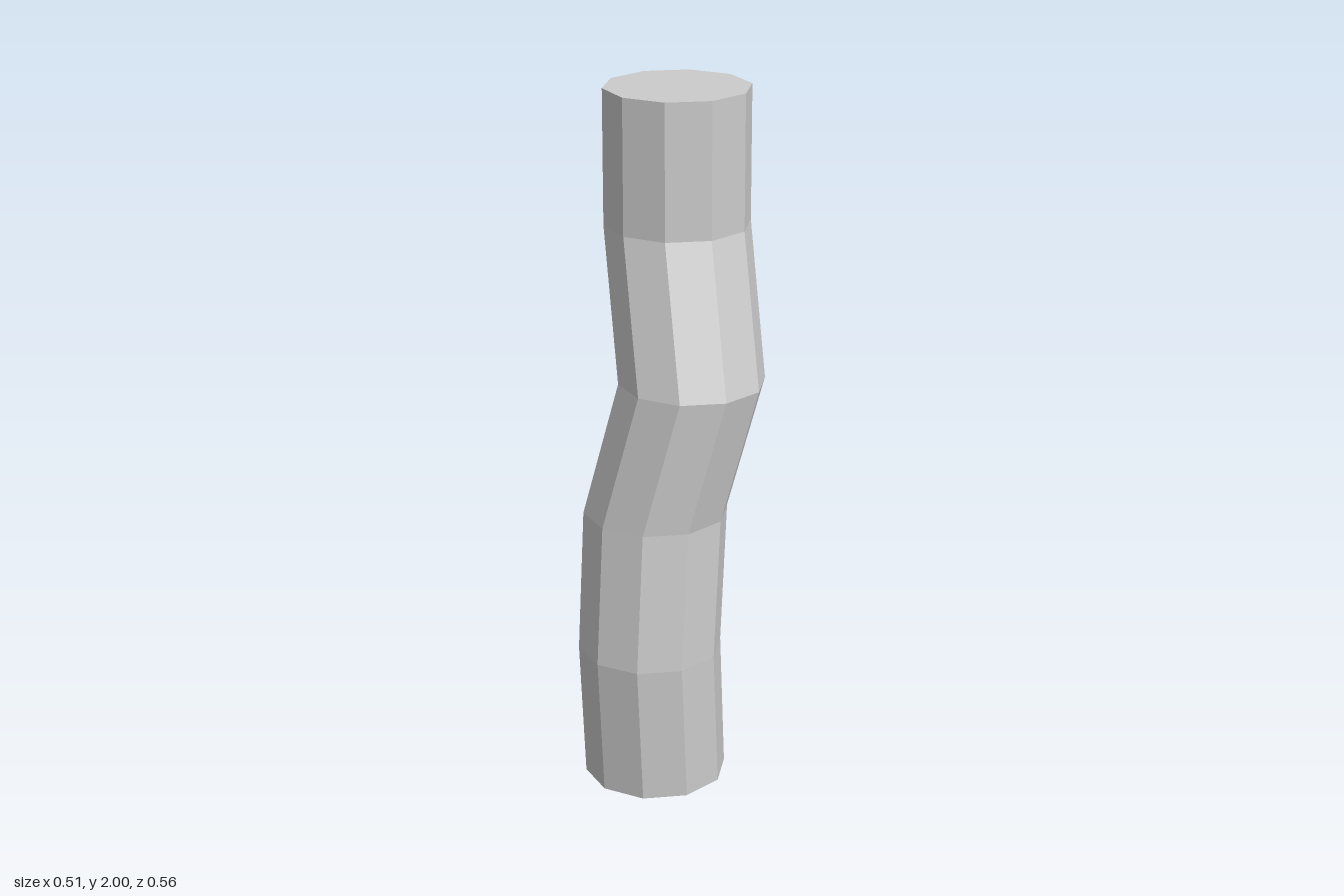
import * as THREE from 'three';

// Centre of each ten-sided ring, from the ground up
const RINGS = [
  [-0.05, 0, 0.055],
  [-0.05, 0.413, 0.086],
  [-0.048, 0.818, 0.052],
  [0.05, 1.208, 0.02],
  [-0.05, 1.62, -0.087],
  [-0.05, 2, -0.087],
];
const RADIUS = 0.205;

export function createModel() {
  const group = new THREE.Group();
  group.name = 'crookedTrunk';

  // Straight capped prism whose rows are shifted onto the ring centres
  const rows = RINGS.length - 1;
  const geometry = new THREE.CylinderGeometry(RADIUS, RADIUS, rows, 10, rows, false, Math.PI / 2);
  const pos = geometry.attributes.position;
  for (let i = 0; i < pos.count; i++) {
    const [x, y, z] = RINGS[Math.round(pos.getY(i) + rows / 2)];
    pos.setXYZ(i, pos.getX(i) + x, y, pos.getZ(i) + z);
  }
  geometry.computeVertexNormals();

  const material = new THREE.MeshStandardMaterial({ color: 0xcccccc, flatShading: true });
  const trunk = new THREE.Mesh(geometry, material);
  trunk.name = 'trunk';
  group.add(trunk);
  return group;
}
